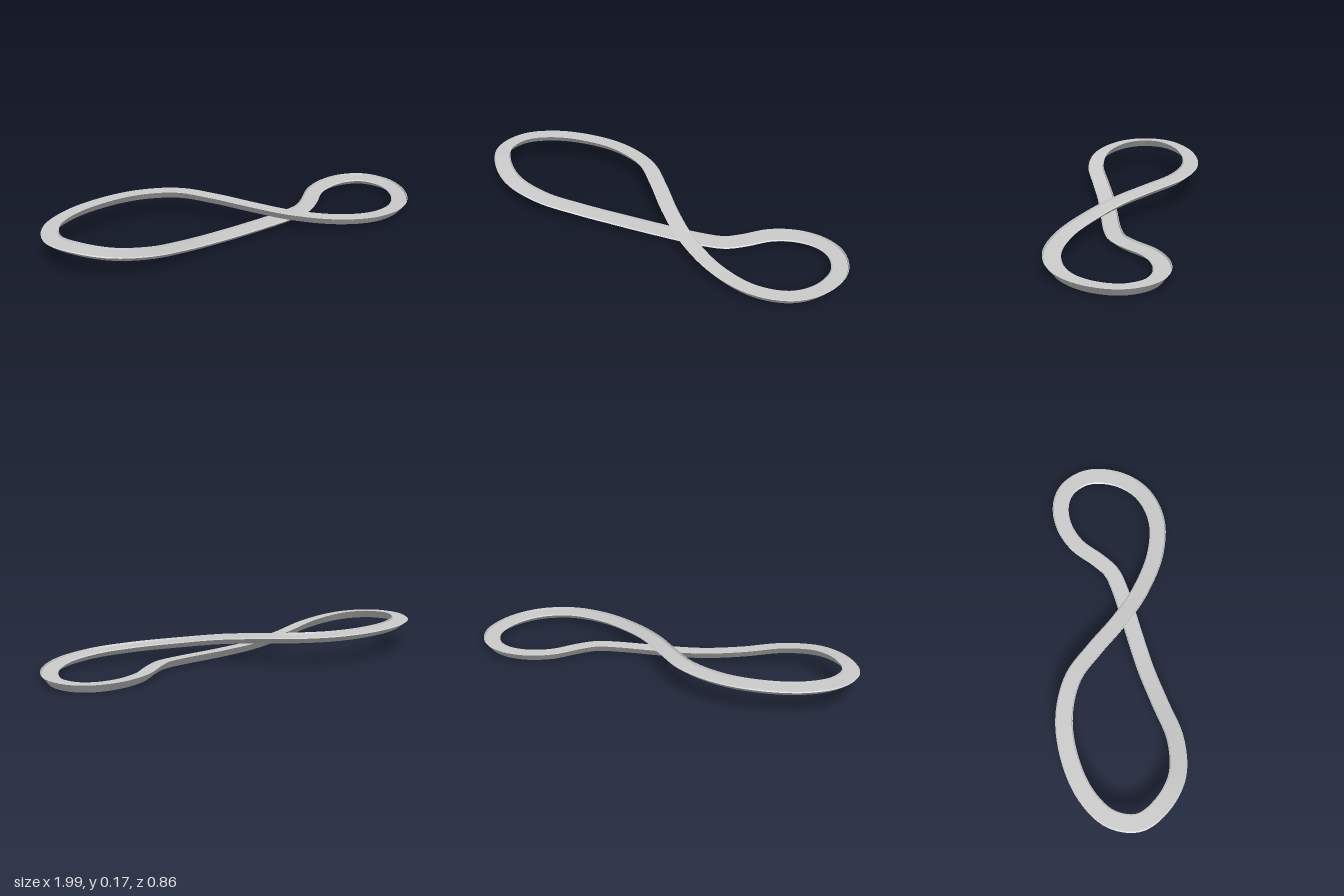
import * as THREE from 'three';

// Closed centre line of the track: x, height of the underside, z
const PATH = [
  [-0.56, 0.125, -0.388], [-0.36, 0.125, -0.362], [-0.18, 0.122, -0.27], [-0.06, 0.11, -0.13],
  [0.06, 0.09, 0.03], [0.2, 0.063, 0.18], [0.4, 0.037, 0.322], [0.6, 0.02, 0.383],
  [0.78, 0.008, 0.35], [0.9, 0.002, 0.24], [0.948, 0, 0.09], [0.905, 0, -0.03],
  [0.82, 0, -0.088], [0.7, 0, -0.102], [0.57, 0, -0.064], [0.45, 0, 0.026],
  [0.37, 0, 0.073], [0.26, 0, 0.09], [0, 0.003, 0.095], [-0.2, 0.012, 0.1],
  [-0.4, 0.035, 0.118], [-0.6, 0.07, 0.135], [-0.78, 0.1, 0.09], [-0.9, 0.118, -0.02],
  [-0.953, 0.122, -0.15], [-0.9, 0.125, -0.275], [-0.76, 0.125, -0.358],
];

// Cross-section (sideways, up): flat road, thin lip on one side, tapered underside
const SECTION = [
  [-0.043, 0.031], [-0.037, 0.035], [0.037, 0.035], [0.04, 0.044],
  [0.043, 0.043], [0.01, 0], [-0.006, 0],
];

// Sweeps the section along a closed curve, keeping it upright
function sweepUpright(curve, section, steps) {
  const positions = [], index = [], n = section.length;
  for (let i = 0; i < steps; i++) {
    const p = curve.getPointAt(i / steps);
    const t = curve.getTangentAt(i / steps).setY(0).normalize();
    for (const [s, u] of section) {
      positions.push(p.x - t.z * s, Math.max(0, p.y + u), p.z + t.x * s);
    }
    const next = (i + 1) % steps;
    for (let j = 0; j < n; j++) {
      const k = (j + 1) % n;
      const a = i * n + j, b = i * n + k, c = next * n + j, d = next * n + k;
      index.push(a, b, c, b, d, c);
    }
  }
  const geometry = new THREE.BufferGeometry();
  geometry.setAttribute('position', new THREE.Float32BufferAttribute(positions, 3));
  geometry.setIndex(index);
  geometry.computeVertexNormals();
  return geometry;
}

export function createModel() {
  const group = new THREE.Group();
  group.name = 'figureEightTrack';

  const curve = new THREE.CatmullRomCurve3(
    PATH.map((p) => new THREE.Vector3(...p)), true, 'centripetal');
  const material = new THREE.MeshStandardMaterial({ color: 0xcccccc, flatShading: true });

  // Banked road loop with its lip and underside
  const track = new THREE.Mesh(sweepUpright(curve, SECTION, 160), material);
  track.name = 'track';
  group.add(track);
  return group;
}
